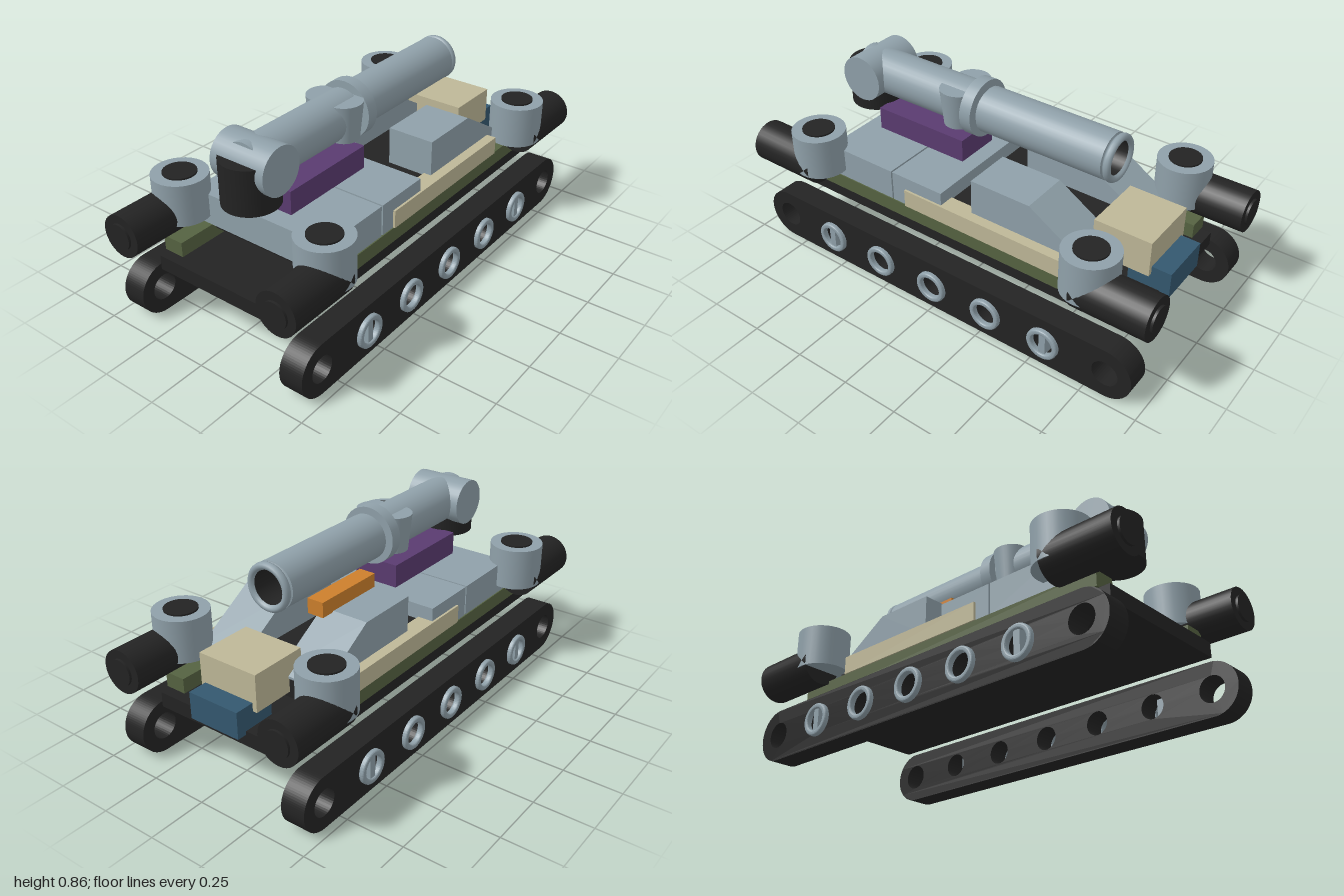
import * as THREE from 'three';

const mat = (name, color) => {
  const m = new THREE.MeshStandardMaterial({ color });
  m.name = name;
  return m;
};

export function createModel() {
  const black = mat('black', 0x232323);
  const grey = mat('blue grey', 0x8fa0a9);
  const tan = mat('tan', 0xbeb797);
  const green = mat('olive green', 0x556241);
  const purple = mat('purple', 0x5a3b70);
  const orange = mat('orange', 0xcc7f2c);
  const blue = mat('blue', 0x34586f);

  const root = new THREE.Group();
  root.name = 'trackedVehicle';

  const add = (parent, name, geo, material) => {
    const mesh = new THREE.Mesh(geo, material);
    mesh.name = name;
    parent.add(mesh);
    return mesh;
  };
  // Box given by its limits on each axis
  const box = (parent, name, material, x0, x1, y0, y1, z0, z1) => {
    const geo = new THREE.BoxGeometry(x1 - x0, y1 - y0, z1 - z0);
    geo.translate((x0 + x1) / 2, (y0 + y1) / 2, (z0 + z1) / 2);
    return add(parent, name, geo, material);
  };
  // Upright cylinder, centred at x, z
  const post = (parent, name, material, x, z, y0, y1, rTop, rBottom = rTop) => {
    const geo = new THREE.CylinderGeometry(rTop, rBottom, y1 - y0, 32);
    geo.translate(x, (y0 + y1) / 2, z);
    return add(parent, name, geo, material);
  };
  // Cylinder lying along x
  const tubeX = (parent, name, material, x0, x1, y, z, r, open = false) => {
    const geo = new THREE.CylinderGeometry(r, r, Math.abs(x1 - x0), 32, 1, open);
    geo.rotateZ(-Math.PI / 2);
    geo.translate((x0 + x1) / 2, y, z);
    return add(parent, name, geo, material);
  };
  const hole = (x, y, r) => new THREE.Path().absarc(x, y, r, 0, Math.PI * 2, true);

  // Tracks: long rounded beams with through holes
  const wheelXs = [-0.56, -0.28, 0, 0.28, 0.56];
  const beam = new THREE.Shape();
  beam.absarc(0.837, 0.115, 0.115, -Math.PI / 2, Math.PI / 2, false);
  beam.absarc(-0.837, 0.115, 0.115, Math.PI / 2, Math.PI * 1.5, false);
  beam.closePath();
  [-0.837, 0.837].forEach((x) => beam.holes.push(hole(x, 0.115, 0.057)));
  wheelXs.forEach((x) => beam.holes.push(hole(x, 0.115, 0.053)));
  const beamGeo = new THREE.ExtrudeGeometry(beam, { depth: 0.106, bevelEnabled: false, curveSegments: 20 });
  beamGeo.translate(0, 0, 0.359);

  // Wheel bushing with a rounded rim
  const bushing = new THREE.Shape().absarc(0, 0, 0.063, 0, Math.PI * 2, false);
  bushing.holes.push(hole(0, 0, 0.056));
  const rimGeo = new THREE.ExtrudeGeometry(bushing, {
    depth: 0.012, bevelSize: 0.008, bevelThickness: 0.008, bevelSegments: 3, curveSegments: 20,
  });
  rimGeo.translate(0, 0, 0.465);

  for (const turn of [0, Math.PI]) {
    const track = new THREE.Group();
    track.name = turn ? 'rightTrack' : 'leftTrack';
    track.rotation.y = turn;
    add(track, 'trackBeam', beamGeo, black);
    for (const x of wheelXs) {
      add(track, 'wheelRim', rimGeo, grey).position.set(x, 0.115, 0);
      if (Math.abs(x) > 0.5) box(track, 'wheelPin', grey, x - 0.015, x + 0.015, 0.063, 0.167, 0.42, 0.477);
    }
    root.add(track);
  }

  // Chassis and deck
  box(root, 'basePlate', black, -0.865, 0.862, 0.23, 0.295, -0.33, 0.33);
  [-0.3, 0, 0.3].forEach((x) => post(root, 'bottomPlug', black, x, 0, 0.224, 0.235, 0.035));
  box(root, 'deck', black, -0.63, 0.635, 0.335, 0.43, -0.3, 0.3);
  for (const s of [-1, 1]) {
    const side = (name, m, x0, x1, y0, y1, a, b) =>
      box(root, name, m, x0, x1, y0, y1, Math.min(s * a, s * b), Math.max(s * a, s * b));
    side('sideRail', green, -0.82, 0.815, 0.295, 0.36, 0.25, 0.345);
    side('sidePanel', tan, -0.23, 0.55, 0.36, 0.44, 0.27, 0.35);
  }

  // Rear armour blocks
  box(root, 'rearBlock', grey, -0.65, -0.308, 0.36, 0.498, -0.34, 0.34);
  box(root, 'middleBlock', grey, -0.3, -0.04, 0.36, 0.498, -0.34, 0.34);

  // Sloped front armour on both sides of a central slot
  const wedge = new THREE.Shape();
  wedge.moveTo(0.09, 0.42);
  wedge.lineTo(0.64, 0.42);
  wedge.lineTo(0.64, 0.43);
  wedge.lineTo(0.37, 0.597);
  wedge.lineTo(0.09, 0.597);
  wedge.closePath();
  const wedgeGeo = new THREE.ExtrudeGeometry(wedge, { depth: 0.215, bevelEnabled: false });
  add(root, 'leftSlope', wedgeGeo, grey).position.z = 0.09;
  add(root, 'rightSlope', wedgeGeo, grey).position.z = -0.305;

  // Coloured blocks
  box(root, 'noseBlock', tan, 0.565, 0.82, 0.36, 0.52, -0.14, 0.14);
  box(root, 'noseLamp', blue, 0.72, 0.905, 0.28, 0.396, -0.12, 0.12);
  box(root, 'turretBase', purple, -0.57, -0.11, 0.5, 0.603, -0.105, 0.105);
  box(root, 'sightBlock', orange, 0.1, 0.435, 0.592, 0.657, -0.145, -0.07);

  // Corner thrusters
  for (const sx of [-1, 1]) for (const sz of [-1, 1]) {
    const corner = new THREE.Group();
    corner.name = 'cornerThruster';
    post(corner, 'thrusterHousing', grey, sx * 0.69, sz * 0.367, 0.398, 0.582, 0.117);
    post(corner, 'thrusterTop', black, sx * 0.69, sz * 0.367, 0.57, 0.589, 0.07);
    tubeX(corner, 'thrusterNozzle', black, sx * 0.665, sx * 0.99, 0.425, sz * 0.392, 0.092);
    tubeX(corner, 'nozzleCap', black, sx * 0.98, sx * 1.0, 0.425, sz * 0.392, 0.056);
    root.add(corner);
  }

  // Cannon
  const cannon = new THREE.Group();
  cannon.name = 'cannon';
  root.add(cannon);
  const axisY = 0.735;
  post(cannon, 'cannonPost', black, -0.672, 0, 0.575, 0.77, 0.118);
  const elbow = new THREE.CylinderGeometry(0.102, 0.102, 0.262, 32);
  elbow.rotateX(Math.PI / 2);
  elbow.translate(-0.643, axisY, 0);
  add(cannon, 'elbow', elbow, grey);
  tubeX(cannon, 'rearBarrel', grey, -0.7, -0.115, axisY, 0, 0.099);
  tubeX(cannon, 'barrelNeck', grey, -0.12, -0.03, axisY, 0, 0.085);
  tubeX(cannon, 'barrelCollar', grey, -0.106, -0.052, axisY, 0, 0.126);
  for (const s of [-1, 1]) post(cannon, 'sideStud', grey, -0.168, s * 0.048, 0.65, 0.815, 0.08, 0.064);
  tubeX(cannon, 'frontBarrel', grey, -0.04, 0.552, axisY, 0, 0.1, true);
  const barrelBack = new THREE.RingGeometry(0.05, 0.1, 32);
  barrelBack.rotateY(-Math.PI / 2);
  barrelBack.translate(-0.04, axisY, 0);
  add(cannon, 'barrelShoulder', barrelBack, grey);

  // Rounded muzzle lip: groove, bulge and inner edge
  const lipPoints = [[0.1, 0.552], [0.09, 0.554], [0.09, 0.558], [0.099, 0.562], [0.102, 0.57],
    [0.101, 0.58], [0.095, 0.588], [0.086, 0.59], [0.077, 0.586], [0.071, 0.576]];
  const alongBarrel = (points) => {
    const geo = new THREE.LatheGeometry(points.map(([r, x]) => new THREE.Vector2(r, x)), 32);
    geo.rotateZ(-Math.PI / 2);
    geo.translate(0, axisY, 0);
    return geo;
  };
  const grey2 = grey;
  grey2.side = THREE.DoubleSide;
  black.side = THREE.DoubleSide;
  add(cannon, 'muzzleLip', alongBarrel(lipPoints), grey2);
  add(cannon, 'bore', alongBarrel([[0.071, 0.576], [0.071, 0.35], [0.071, 0.35], [0, 0.35]]), black);

  return root;
}
